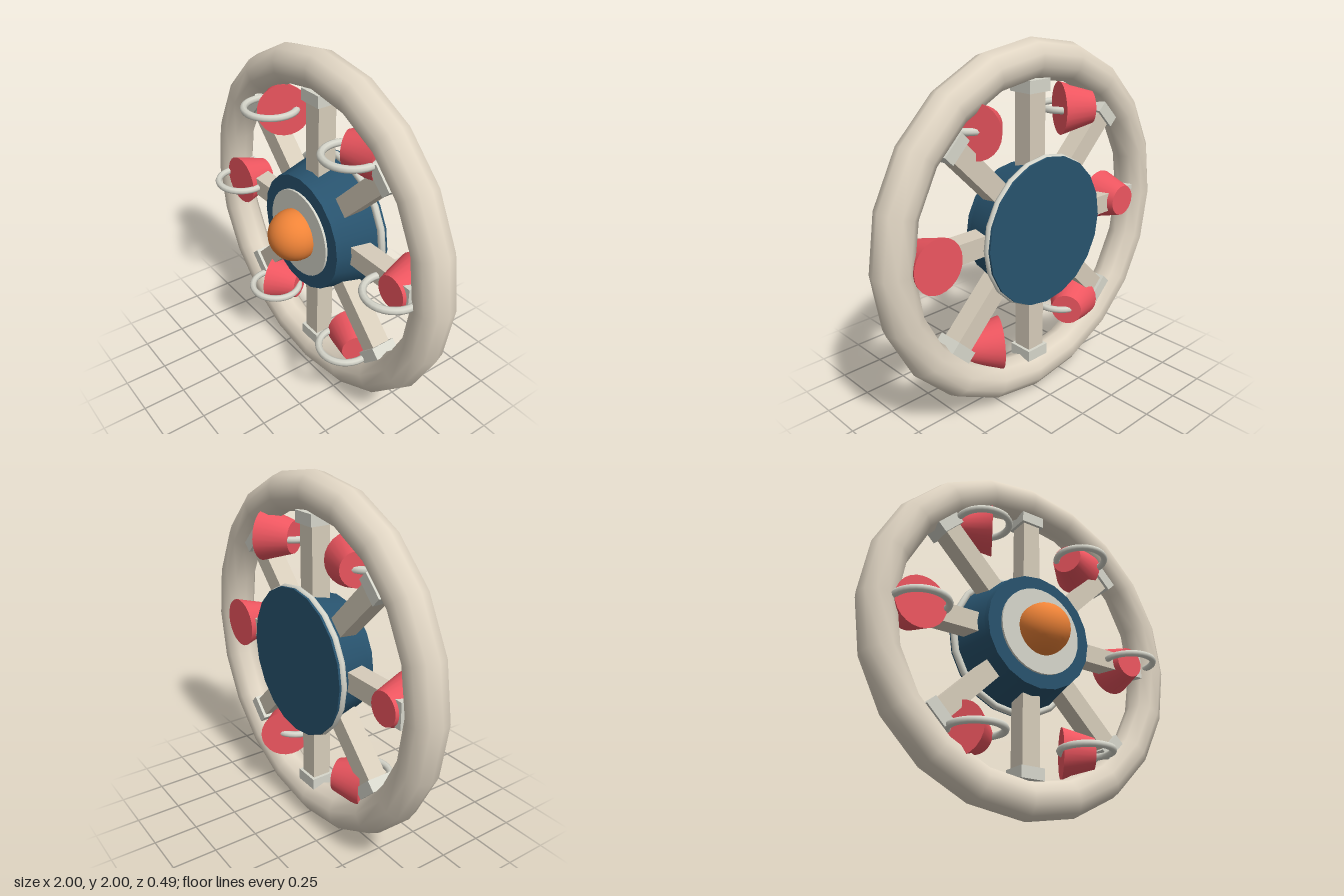
import * as THREE from 'three';

const mat = (color) => new THREE.MeshStandardMaterial({ color });
const MID = -0.075; // depth of the wheel plane

export function createModel() {
  const wheel = new THREE.Group();
  wheel.name = 'wheel';
  wheel.position.y = 1;

  const cream = mat(0xe0d5c3);
  const wood = mat(0xd6ccba);
  const pale = mat(0xd6d6cb);
  const blue = mat(0x28536e);
  const red = mat(0xee5660);
  const orange = mat(0xf08438);

  const add = (parent, name, geometry, material, x = 0, y = 0, z = 0) => {
    const mesh = new THREE.Mesh(geometry, material);
    mesh.name = name;
    mesh.position.set(x, y, z);
    parent.add(mesh);
    return mesh;
  };
  // Disc or cone along z, from z0 (back) to z1 (front)
  const disc = (name, rBack, rFront, z0, z1, sides, material) =>
    add(wheel, name, new THREE.CylinderGeometry(rFront, rBack, z1 - z0, sides).rotateX(Math.PI / 2),
      material, 0, 0, (z0 + z1) / 2);

  // Rim
  add(wheel, 'rim', new THREE.TorusGeometry(0.895, 0.105, 10, 20), cream, 0, 0, MID);

  // Hub: tapered drum, back ring and plate, front plate and knob
  disc('hubFront', 0.335, 0.33, 0.03, 0.062, 20, blue);
  disc('hubDrum', 0.39, 0.335, -0.2, 0.03, 20, blue);
  add(wheel, 'hubRing', new THREE.TorusGeometry(0.4, 0.02, 8, 20), pale, 0, 0, -0.183);
  disc('hubBackPlate', 0.41, 0.41, -0.212, -0.2, 20, blue);
  disc('hubFrontPlate', 0.25, 0.25, 0.05, 0.075, 32, pale);
  add(wheel, 'knob', new THREE.SphereGeometry(0.145, 32, 20), orange, 0, 0, 0.1);

  // Eight spokes, each with an end block
  for (let i = 0; i < 8; i++) {
    const spoke = new THREE.Group();
    spoke.name = 'spoke' + (i + 1);
    spoke.rotation.z = (i * Math.PI) / 4;
    add(spoke, 'spokeBar', new THREE.BoxGeometry(0.55, 0.11, 0.11), wood, 0.485, 0, MID);
    add(spoke, 'spokeEnd', new THREE.BoxGeometry(0.065, 0.145, 0.145), pale, 0.765, 0, MID);
    wheel.add(spoke);
  }

  // Six buckets, each turned further round, with a level handle ring
  for (let i = 0; i < 6; i++) {
    const a = (i * Math.PI) / 3;
    const x = 0.69 * Math.cos(a), y = 0.69 * Math.sin(a);
    const bucket = add(wheel, 'bucket' + (i + 1),
      new THREE.CylinderGeometry(0.09, 0.145, 0.18, 24), red, x, y, MID);
    bucket.rotation.set(Math.PI / 2, 0, a);
    add(wheel, 'handleRing' + (i + 1),
      new THREE.TorusGeometry(0.145, 0.02, 8, 32).rotateX(Math.PI / 2), pale, x, y, 0.005);
  }

  const model = new THREE.Group();
  model.name = 'spokedWheel';
  model.add(wheel);
  return model;
}
